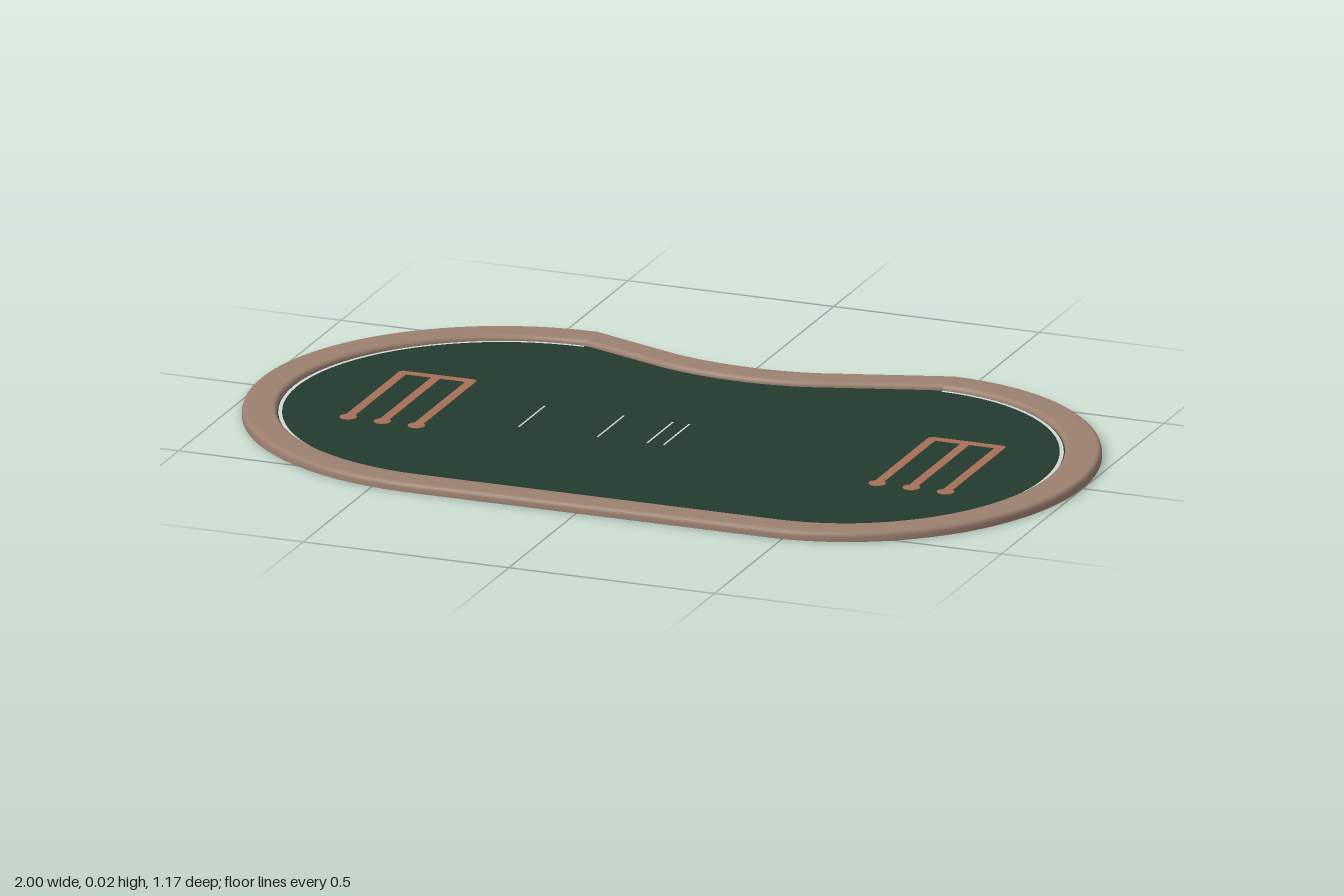
import * as THREE from 'three';

const FELT_Y = 0.009;

// One half-round table end, as pairs of outer and inner rail points
function endArc(cx, from, to, outer, inner, n = 40) {
  return Array.from({ length: n + 1 }, (_, i) => {
    const a = from + (to - from) * i / n;
    const c = Math.cos(a), s = Math.sin(a);
    return [cx + outer[0] * c, outer[1] * s, cx + inner[0] * c, inner[1] * s];
  });
}

// Dealer's notch along the back, from left corner to right corner
function notch() {
  const path = new THREE.CurvePath();
  const v = (x, z) => new THREE.Vector2(x, z);
  path.add(new THREE.LineCurve(v(-0.41, -0.585), v(-0.2, -0.508)));
  path.add(new THREE.CubicBezierCurve(v(-0.2, -0.508), v(-0.08, -0.466), v(0.09, -0.466), v(0.19, -0.502)));
  path.add(new THREE.LineCurve(v(0.19, -0.502), v(0.46, -0.585)));
  return path.getSpacedPoints(36).map(p => [p.x, p.y, p.x, p.y + 0.075]);
}

// Sweeps a profile of [inward fraction, height] along the paired points
function sweep(pairs, profile) {
  const pos = [], index = [], m = profile.length;
  for (const [ox, oz, ix, iz] of pairs) {
    for (const [t, y] of profile) pos.push(ox + (ix - ox) * t, y, oz + (iz - oz) * t);
  }
  for (let i = 0; i < pairs.length - 1; i++) {
    for (let j = 0; j < m - 1; j++) {
      const a = i * m + j, b = a + 1, c = a + m, d = c + 1;
      index.push(a, b, c, b, d, c);
    }
  }
  const g = new THREE.BufferGeometry();
  g.setAttribute('position', new THREE.Float32BufferAttribute(pos, 3));
  g.setIndex(index);
  g.computeVertexNormals();
  return g;
}

export function createModel() {
  const model = new THREE.Group();
  model.name = 'cardTableTop';
  const material = (name, color) => {
    const m = new THREE.MeshStandardMaterial({ color, side: THREE.DoubleSide });
    m.name = name;
    return m;
  };
  const leather = material('tan leather', 0x9c8070);
  const green = material('green felt', 0x233b2f);
  const white = material('white line', 0xd4d6d4);
  const copper = material('copper marking', 0xa66f57);

  const add = (name, geometry, mat, parent = model) => {
    const mesh = new THREE.Mesh(geometry, mat);
    mesh.name = name;
    parent.add(mesh);
    return mesh;
  };

  const H = Math.PI / 2;
  const ends = [
    ...endArc(0.46, -H, H, [0.54, 0.585], [0.455, 0.508]),
    ...endArc(-0.41, H, 3 * H, [0.59, 0.585], [0.51, 0.508]),
  ];
  const back = notch();

  // Padded rail, an open-bottomed channel with rounded shoulders
  const railProfile = [
    [0, 0], [0, 0.011], [0.025, 0.017], [0.07, 0.0205], [0.14, 0.022],
    [0.86, 0.022], [0.93, 0.0205], [0.975, 0.017], [1, 0.012], [1, 0.004],
  ];
  add('railEnds', sweep(ends, railProfile), leather);
  add('railNotch', sweep(back, railProfile), leather);

  // Felt playing surface
  const outline = [...ends, ...back.slice(1, -1)].map(p => new THREE.Vector2(p[2], -p[3]));
  const felt = add('felt', new THREE.ShapeGeometry(new THREE.Shape(outline)), green);
  felt.rotation.x = -H;
  felt.position.y = FELT_Y;

  // White border line around the players' side
  add('borderLine', sweep(ends, [[1.03, FELT_Y + 0.001], [1.14, FELT_Y + 0.001]]), white);

  // Chip tray markings, three lanes joined by a bar
  const W = 0.022, T = 0.002, zBack = -0.18, zFront = 0.16, gap = 0.083;
  for (const [name, x] of [['rightMarking', -0.639], ['leftMarking', 0.647]]) {
    const marking = new THREE.Group();
    marking.name = name;
    marking.position.set(x, FELT_Y, 0);
    model.add(marking);
    for (const k of [-1, 0, 1]) {
      add('lane', new THREE.BoxGeometry(W, T, zFront - zBack), copper, marking)
        .position.set(k * gap, 0, (zFront + zBack) / 2);
      add('laneEnd', new THREE.CylinderGeometry(0.02, 0.02, T, 16), copper, marking)
        .position.set(k * gap, 0, zFront);
      add('laneCorner', new THREE.CylinderGeometry(W / 2, W / 2, T, 16), copper, marking)
        .position.set(k * gap, 0, zBack);
    }
    add('crossBar', new THREE.BoxGeometry(2 * gap, T, W), copper, marking)
      .position.set(0, 0, zBack);
  }

  // Fine card position lines in the middle
  for (const x of [-0.337, -0.145, -0.025, 0.015]) {
    add('cardLine', new THREE.BoxGeometry(0.004, T, 0.16), white).position.set(x, FELT_Y, 0.005);
  }
  return model;
}
